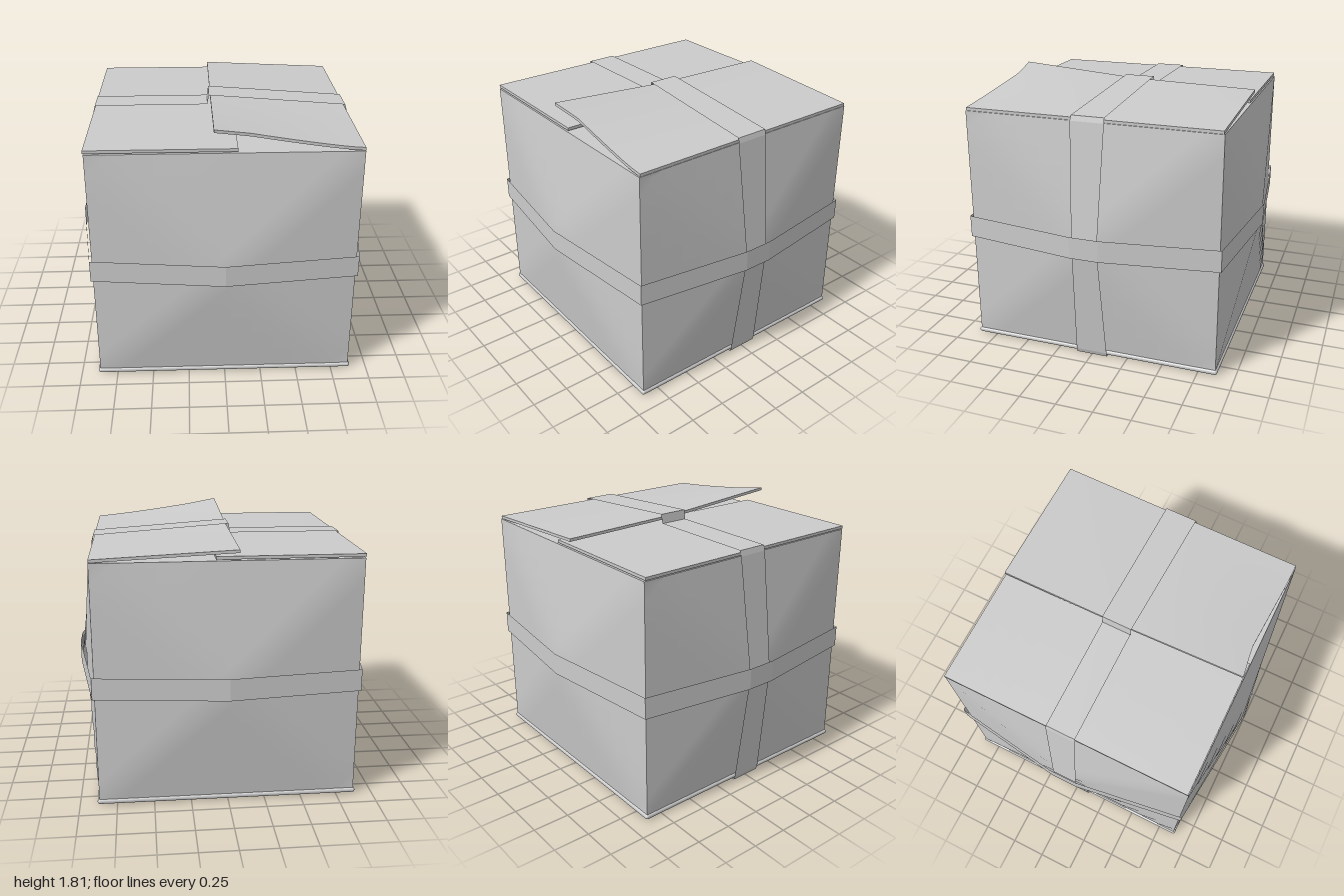
import * as THREE from 'three';
import { RoundedBoxGeometry } from 'three/addons/geometries/RoundedBoxGeometry.js';

const card = new THREE.MeshStandardMaterial({ color: 0xcccccc });
const thin = new THREE.MeshStandardMaterial({ color: 0xcccccc, side: THREE.DoubleSide });

function add(group, name, geometry, material = card) {
  const mesh = new THREE.Mesh(geometry, material);
  mesh.name = name;
  group.add(mesh);
  return mesh;
}

// Closed ribbon from pairs of edge points [a, b]; each panel stays crisp
function ribbon(pairs) {
  const pos = [];
  pairs.forEach(([a, b], i) => {
    const [c, d] = pairs[(i + 1) % pairs.length];
    pos.push(...a, ...b, ...d, ...a, ...d, ...c);
  });
  const g = new THREE.BufferGeometry();
  g.setAttribute('position', new THREE.Float32BufferAttribute(pos, 3));
  g.computeVertexNormals();
  return g;
}

// Wall facing +z: straight edges, middle pushed outwards
function wallGeometry() {
  const half = 0.87, y0 = 0.03, y1 = 1.655, mid = (y0 + y1) / 2;
  const g = new THREE.PlaneGeometry(2 * half, y1 - y0, 12, 12);
  const p = g.attributes.position;
  for (let i = 0; i < p.count; i++) {
    const u = Math.abs(p.getX(i)) / half;
    const v = Math.abs(p.getY(i)) / (mid - y0);
    p.setZ(i, half + 0.105 * (1 - Math.max(u, v)));
  }
  g.translate(0, mid, 0);
  g.computeVertexNormals();
  return g;
}

// Thin card between x0 and x1 whose top follows topY(x, z)
function flapGeometry(x0, x1, thickness, topY, frontInset = () => 0) {
  const g = new THREE.BoxGeometry(x1 - x0, thickness, 1.73, 12, 1, 12);
  g.translate((x0 + x1) / 2, -thickness / 2, 0);
  const p = g.attributes.position;
  for (let i = 0; i < p.count; i++) {
    const x = p.getX(i), z = p.getZ(i);
    p.setY(i, p.getY(i) + topY(x, z));
    if (z > 0) p.setZ(i, z * (1 - frontInset(x)));
  }
  g.computeVertexNormals();
  return g;
}

export function createModel() {
  const group = new THREE.Group();

  // Four bulging walls
  ['frontWall', 'leftWall', 'backWall', 'rightWall'].forEach((name, i) => {
    add(group, name, wallGeometry()).rotation.y = i * Math.PI / 2;
  });

  // Bottom with rolled edge
  add(group, 'bottom', new RoundedBoxGeometry(1.765, 0.034, 1.765, 3, 0.016)).position.y = 0.024;

  // Inner lid under the flaps
  add(group, 'innerLid', new THREE.BoxGeometry(1.74, 0.015, 1.74)).position.y = 1.6505;

  // Lower flap, lying almost flat
  add(group, 'lowerFlap', flapGeometry(-0.875, 0.08, 0.02, () => 1.685));

  // Upper flap, overlapping the lower one and lifting towards the front
  const lift = (x, z) => {
    const t = THREE.MathUtils.clamp((0.87 - x) / 0.94, 0, 1);
    const edge = 0.065 + (z > 0 ? 0.065 : 0.02) * z / 0.865;
    return 1.68 + edge * Math.pow(t, 1 + 0.25 * Math.max(0, z));
  };
  add(group, 'upperFlap', flapGeometry(-0.07, 0.87, 0.02, lift,
    x => 0.035 * Math.max(0, 1 - Math.abs(x - 0.15) / (x < 0.15 ? 0.22 : 0.6))));

  // Tape over the top, down both sides and under the bottom: x, y, back z, front z
  const tape = [
    [-0.08, 1.765, -0.125, 0.085], [-0.09, 1.7, -0.12, 0.085], [-0.875, 1.698, -0.12, 0.085],
    [-0.885, 1.66, -0.12, 0.09], [-0.985, 0.84, -0.09, 0.09], [-0.895, 0.03, -0.11, 0.11],
    [-0.885, 0, -0.11, 0.11], [0.885, 0, -0.11, 0.11], [0.895, 0.03, -0.11, 0.11],
    [0.985, 0.84, -0.085, 0.09], [0.885, 1.66, -0.11, 0.12], [0.875, 1.695, -0.11, 0.115],
  ];
  add(group, 'lengthwiseTape', ribbon(tape.map(([x, y, z0, z1]) => [[x, y, z0], [x, y, z1]])), thin);

  // Band of tape around the walls
  const band = [
    [0.885, 0.885], [0, 0.985], [-0.885, 0.885], [-1, 0.1],
    [-1, -0.1], [-0.885, -0.885], [0, -0.985], [0.885, -0.885], [1, -0.1], [1, 0.1],
  ];
  add(group, 'waistTape', ribbon(band.map(([x, z]) => [[x, 0.765, z], [x, 0.915, z]])), thin);

  return group;
}
